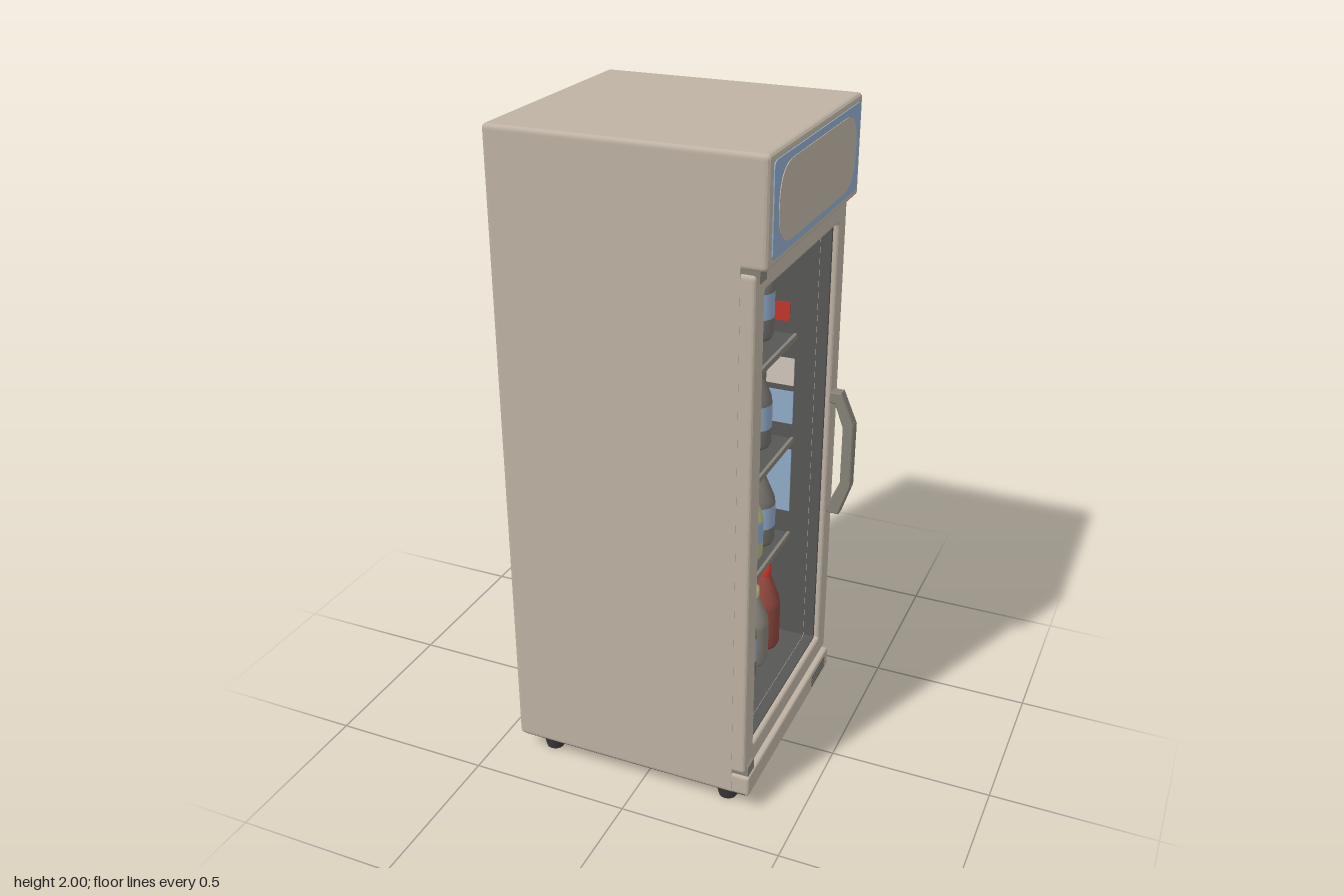
import * as THREE from 'three';

const mat = (name, color) => {
  const m = new THREE.MeshStandardMaterial({ color });
  m.name = name;
  return m;
};

export function createModel() {
  const body = mat('body beige', 0xbdb2a3);
  const dark = mat('interior grey', 0x575754);
  const black = mat('foot charcoal', 0x3c3b38);
  const metal = mat('handle grey', 0x858178);
  const blue = mat('panel blue', 0x90abc9);
  const red = mat('can red', 0xc0352b);
  const green = mat('drink green', 0xb4b881);
  const cream = mat('label cream', 0xd0c6ba);
  const glass = mat('bottle grey', 0x706f6a);
  const maroon = mat('bottle maroon', 0x8c453c);

  const model = new THREE.Group();
  const add = (name, geo, material, parent = model) => {
    const mesh = new THREE.Mesh(geo, material);
    mesh.name = name;
    parent.add(mesh);
    return mesh;
  };
  const box = (name, x0, x1, y0, y1, z0, z1, material) =>
    add(name, new THREE.BoxGeometry(x1 - x0, y1 - y0, z1 - z0)
      .translate((x0 + x1) / 2, (y0 + y1) / 2, (z0 + z1) / 2), material);

  // Rounded rectangle, symmetric across the cabinet's width
  const rounded = (w, y0, y1, r, C = THREE.Shape) => {
    const s = new C();
    s.moveTo(-w + r, y0);
    s.lineTo(w - r, y0); s.quadraticCurveTo(w, y0, w, y0 + r);
    s.lineTo(w, y1 - r); s.quadraticCurveTo(w, y1, w - r, y1);
    s.lineTo(-w + r, y1); s.quadraticCurveTo(-w, y1, -w, y1 - r);
    s.lineTo(-w, y0 + r); s.quadraticCurveTo(-w, y0, -w + r, y0);
    return s;
  };
  // Slab or frame running from x0 to x1, facing +x
  const slab = (name, w, y0, y1, x0, x1, r, material, bevel = 0, hole = null) => {
    const s = rounded(w, y0, y1, r);
    if (hole) s.holes.push(rounded(...hole, THREE.Path));
    const geo = new THREE.ExtrudeGeometry(s, {
      depth: x1 - x0 - 2 * bevel, bevelEnabled: bevel > 0, bevelThickness: bevel,
      bevelSize: bevel, bevelOffset: -bevel, bevelSegments: 3, curveSegments: 8,
    });
    geo.translate(0, 0, bevel).rotateY(Math.PI / 2).translate(x0, 0, 0);
    return add(name, geo, material);
  };

  // Cabinet shell, door frame, header and kick strip
  slab('cabinetBack', 0.37, 0.06, 2, -0.42, -0.26, 0.015, body, 0.012);
  slab('cabinetShell', 0.37, 0.06, 2, -0.4, 0.3, 0.015, body, 0, [0.32, 0.17, 1.67, 0.005]);
  slab('header', 0.37, 1.705, 2, 0.28, 0.372, 0.015, body, 0.014);
  slab('doorFrame', 0.369, 0.14, 1.695, 0.285, 0.342, 0.015, body, 0.01, [0.3, 0.205, 1.635, 0.01]);
  slab('doorGasket', 0.315, 0.185, 1.65, 0.292, 0.325, 0.01, dark, 0, [0.29, 0.21, 1.625, 0.01]);
  slab('kickStrip', 0.369, 0.062, 0.132, 0.28, 0.355, 0.012, body, 0.008);
  box('underside', -0.408, 0.34, 0.057, 0.062, -0.36, 0.36, black);
  for (let i = 0; i < 3; i++)
    box('kickVent', 0.35, 0.357, 0.082 + i * 0.014, 0.088 + i * 0.014, -0.33, -0.2, dark);

  // Header sign
  slab('signBorder', 0.345, 1.73, 1.98, 0.37, 0.375, 0.02, blue);
  slab('signPanel', 0.31, 1.75, 1.96, 0.373, 0.377, 0.1, body);

  // Interior lining
  box('liningBack', -0.26, -0.25, 0.17, 1.67, -0.32, 0.32, dark);
  box('liningFloor', -0.25, 0.298, 0.165, 0.2, -0.32, 0.32, dark);
  box('liningCeiling', -0.25, 0.298, 1.645, 1.675, -0.32, 0.32, dark);
  for (const s of [-1, 1])
    box('liningSide', -0.25, 0.298, 0.17, 1.67, s * 0.315 - 0.006, s * 0.315 + 0.006, dark);

  // Tinted patches on the inner side wall
  box('wallPatch', 0.1, 0.22, 0.66, 0.88, -0.31, -0.306, blue);
  box('wallPatch', 0.1, 0.22, 0.97, 1.08, -0.31, -0.306, blue);
  box('wallPatch', 0.13, 0.22, 1.1, 1.19, -0.31, -0.306, cream);
  box('wallPatch', 0.1, 0.2, 1.31, 1.37, -0.31, -0.306, red);

  // Shelves with a paler front lip
  for (const y of [1.27, 0.92, 0.58]) {
    box('shelf', -0.25, 0.215, y - 0.018, y, -0.31, 0.31, dark);
    box('shelfLip', 0.215, 0.225, y - 0.014, y + 0.004, -0.31, 0.31, metal);
  }

  // Hinges
  for (const y of [1.672, 0.132]) box('hinge', 0.3, 0.35, y, y + 0.035, 0.315, 0.362, metal);

  // Handle: a bent bar swept across its width
  const bar = new THREE.Shape([[0.34, 1.1], [0.372, 1.1], [0.415, 1.0], [0.415, 0.79], [0.382, 0.69],
    [0.345, 0.69], [0.352, 0.715], [0.388, 0.8], [0.388, 0.99], [0.358, 1.07], [0.34, 1.07]]
    .map(p => new THREE.Vector2(...p)));
  add('handle', new THREE.ExtrudeGeometry(bar, { depth: 0.03, bevelEnabled: true, bevelSize: 0.004,
    bevelThickness: 0.004, bevelSegments: 1 }).translate(0, 0, -0.335), metal);

  // Feet
  for (const x of [-0.33, 0.265]) for (const z of [-0.305, 0.305])
    add('foot', new THREE.CylinderGeometry(0.044, 0.028, 0.07, 12).translate(x, 0.035, z), black);

  // Oval badge plate on the back
  const oval = add('backPlate', new THREE.CylinderGeometry(1, 1, 0.004, 28), dark);
  oval.rotation.z = Math.PI / 2;
  oval.scale.set(0.055, 1, 0.11);
  oval.position.set(-0.4195, 1.68, -0.04);

  // Drinks: stacked lathe bands, each [material, [radius, height] points]
  const drink = (name, x, y, z, bands) => {
    const g = new THREE.Group();
    g.name = name;
    g.position.set(x, y, z);
    for (const [m, pts] of bands)
      add(name + 'Band', new THREE.LatheGeometry(pts.map(p => new THREE.Vector2(...p)), 20), m, g);
    model.add(g);
    return g;
  };
  const can = (x, y, z, h, main, top, patches = []) => {
    const r = 0.049;
    const g = drink('can', x, y, z, [
      [glass, [[0, 0], [r * 0.8, 0], [r, 0.02]]],
      [main, [[r, 0.02], [r, h * 0.82]]],
      [top, [[r, h * 0.82], [r * 0.94, h * 0.9], [r * 0.76, h]]],
      [cream, [[r * 0.76, h], [r * 0.7, h - 0.006], [0, h - 0.006]]],
    ]);
    // Curved label patches, staggered around the can from its front
    patches.forEach((m, i) => add('canPatch', new THREE.CylinderGeometry(r + 0.001, r + 0.001,
      h * 0.3, 6, 1, true, Math.PI / 2 - 0.4 + (i - 1) * 0.95, 0.85)
      .translate(0, h * (i % 2 ? 0.5 : 0.32), 0), m, g));
  };
  const bottle = (x, y, z, h, main, label, cap, lower = main) => {
    const r = 0.05;
    drink('bottle', x, y, z, [
      [lower, [[0, 0], [r * 0.85, 0], [r, 0.015], [r, h * 0.24]]],
      [label, [[r * 1.01, h * 0.24], [r * 1.01, h * 0.52]]],
      [main, [[r, h * 0.52], [r * 0.95, h * 0.6], [r * 0.6, h * 0.76], [r * 0.33, h * 0.88]]],
      [cap, [[r * 0.36, h * 0.88], [r * 0.36, h], [0, h]]],
    ]);
  };

  // Top shelf
  can(0.12, 1.27, 0.24, 0.23, green, green, [glass]);
  can(0.12, 1.27, 0.155, 0.23, green, green, [glass]);
  can(0.0, 1.27, 0.12, 0.28, glass, glass);
  can(0.12, 1.27, 0.05, 0.23, red, cream, [red, glass, glass]);
  bottle(0.12, 1.27, -0.06, 0.285, cream, red, cream);
  bottle(0.12, 1.27, -0.147, 0.3, glass, green, glass, green);
  bottle(0.12, 1.27, -0.245, 0.29, glass, blue, cream);
  // Second shelf
  can(0.13, 0.92, 0.2, 0.21, glass, glass, [glass, red, red]);
  can(0.13, 0.92, 0.098, 0.2, glass, glass, [red, cream, red]);
  can(0.13, 0.92, -0.005, 0.21, red, cream, [red, cream, cream]);
  can(0.13, 0.92, -0.113, 0.22, green, cream);
  bottle(0.13, 0.92, -0.222, 0.28, glass, blue, glass);
  // Third shelf
  can(0.15, 0.58, 0.205, 0.2, red, cream, [glass, glass, red]);
  can(0.15, 0.58, 0.1, 0.2, red, cream, [glass, cream, red]);
  can(0.15, 0.58, -0.005, 0.2, red, cream, [red, cream, glass]);
  bottle(0.15, 0.58, -0.115, 0.26, green, blue, cream, green);
  bottle(0.15, 0.58, -0.222, 0.27, glass, blue, blue);
  // Floor
  bottle(0.18, 0.2, 0.21, 0.29, glass, metal, cream);
  bottle(0.18, 0.2, 0.102, 0.29, glass, metal, cream);
  bottle(0.18, 0.2, -0.002, 0.3, glass, blue, blue);
  bottle(0.18, 0.2, -0.107, 0.28, metal, metal, green);
  bottle(0.18, 0.2, -0.213, 0.3, maroon, maroon, red);

  return model;
}
